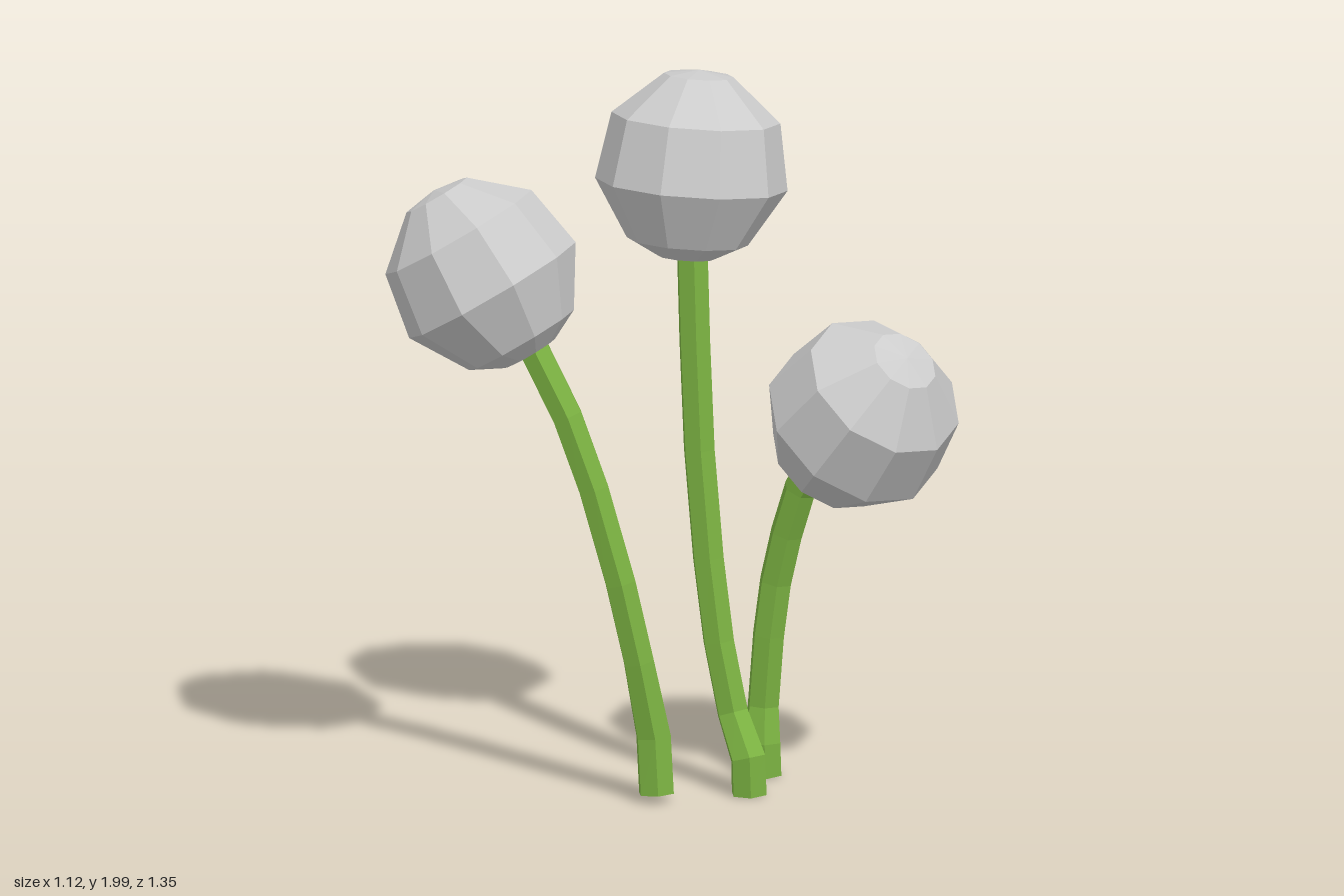
import * as THREE from 'three';

const green = new THREE.MeshStandardMaterial({ color: 0x7cb342, flatShading: true });
const grey = new THREE.MeshStandardMaterial({ color: 0xcccccc, flatShading: true });
const SIDES = 6;

// Each plant: stem path from the ground up, then the ball's centre and axis.
const plants = [
  { name: 'tall', center: [0.12, 1.74, -0.027], axis: [0.03, 0.26, 0],
    path: [[0.12, 0.01, 0.165], [0.115, 0.11, 0.165], [0.132, 0.225, 0.1], [0.122, 0.42, 0.06],
      [0.115, 0.65, 0.03], [0.11, 0.95, 0.003], [0.107, 1.25, -0.01], [0.108, 1.53, -0.02]] },
  { name: 'back', center: [-0.315, 1.465, -0.415], axis: [-0.05, 0.22, -0.125],
    path: [[-0.093, 0.03, 0.01], [-0.093, 0.19, 0], [-0.13, 0.4, -0.022], [-0.162, 0.62, -0.06],
      [-0.197, 0.88, -0.125], [-0.23, 1.08, -0.19], [-0.272, 1.3, -0.295]] },
  { name: 'front', center: [0.3, 1.07, 0.415], axis: [-0.03, 0.185, 0.17],
    path: [[0.32, 0.01, 0.065], [0.315, 0.1, 0.065], [0.33, 0.2, 0.055], [0.33, 0.4, 0.073],
      [0.335, 0.55, 0.093], [0.335, 0.69, 0.13], [0.333, 0.82, 0.177], [0.33, 0.93, 0.25]] },
];

// Six-sided tube through the path points, closed at the foot.
function stemGeometry(path) {
  const pts = path.map((p) => new THREE.Vector3(...p));
  const pos = [], index = [];
  const front = new THREE.Vector3(0, 0, 1);
  pts.forEach((p, k) => {
    const t = pts[Math.min(k + 1, pts.length - 1)].clone().sub(pts[Math.max(k - 1, 0)]).normalize();
    const u = t.clone().cross(front).normalize();
    const v = u.clone().cross(t);
    const r = k < 2 ? 0.052 : 0.046;
    for (let i = 0; i < SIDES; i++) {
      const a = ((i + 0.3) / SIDES) * Math.PI * 2;
      const q = p.clone().addScaledVector(u, r * Math.cos(a)).addScaledVector(v, r * Math.sin(a));
      pos.push(q.x, q.y, q.z);
      if (k === pts.length - 1) continue;
      const j = (i + 1) % SIDES, lo = k * SIDES, hi = lo + SIDES;
      index.push(lo + i, hi + i, lo + j, hi + i, hi + j, lo + j);
    }
  });
  for (let i = 1; i < SIDES - 1; i++) index.push(0, i, i + 1);
  const g = new THREE.BufferGeometry();
  g.setAttribute('position', new THREE.Float32BufferAttribute(pos, 3));
  g.setIndex(index);
  g.computeVertexNormals();
  return g;
}

// Ten-sided ball, blunt at the crown
const ballGeometry = new THREE.LatheGeometry(
  [[0, -0.263], [0.08, -0.255], [0.165, -0.212], [0.262, -0.055], [0.23, 0.128], [0.095, 0.245], [0, 0.26]]
    .map(([x, y]) => new THREE.Vector2(x, y)), 10);

export function createModel() {
  const model = new THREE.Group();
  model.name = 'ballFlowers';
  for (const { name, path, center, axis } of plants) {
    const plant = new THREE.Group();
    plant.name = name + 'Flower';

    const stem = new THREE.Mesh(stemGeometry(path), green);
    stem.name = name + 'Stem';

    const ball = new THREE.Mesh(ballGeometry, grey);
    ball.name = name + 'FlowerHead';
    ball.position.set(...center);
    ball.quaternion.setFromUnitVectors(new THREE.Vector3(0, 1, 0), new THREE.Vector3(...axis).normalize());

    plant.add(stem, ball);
    model.add(plant);
  }
  return model;
}
